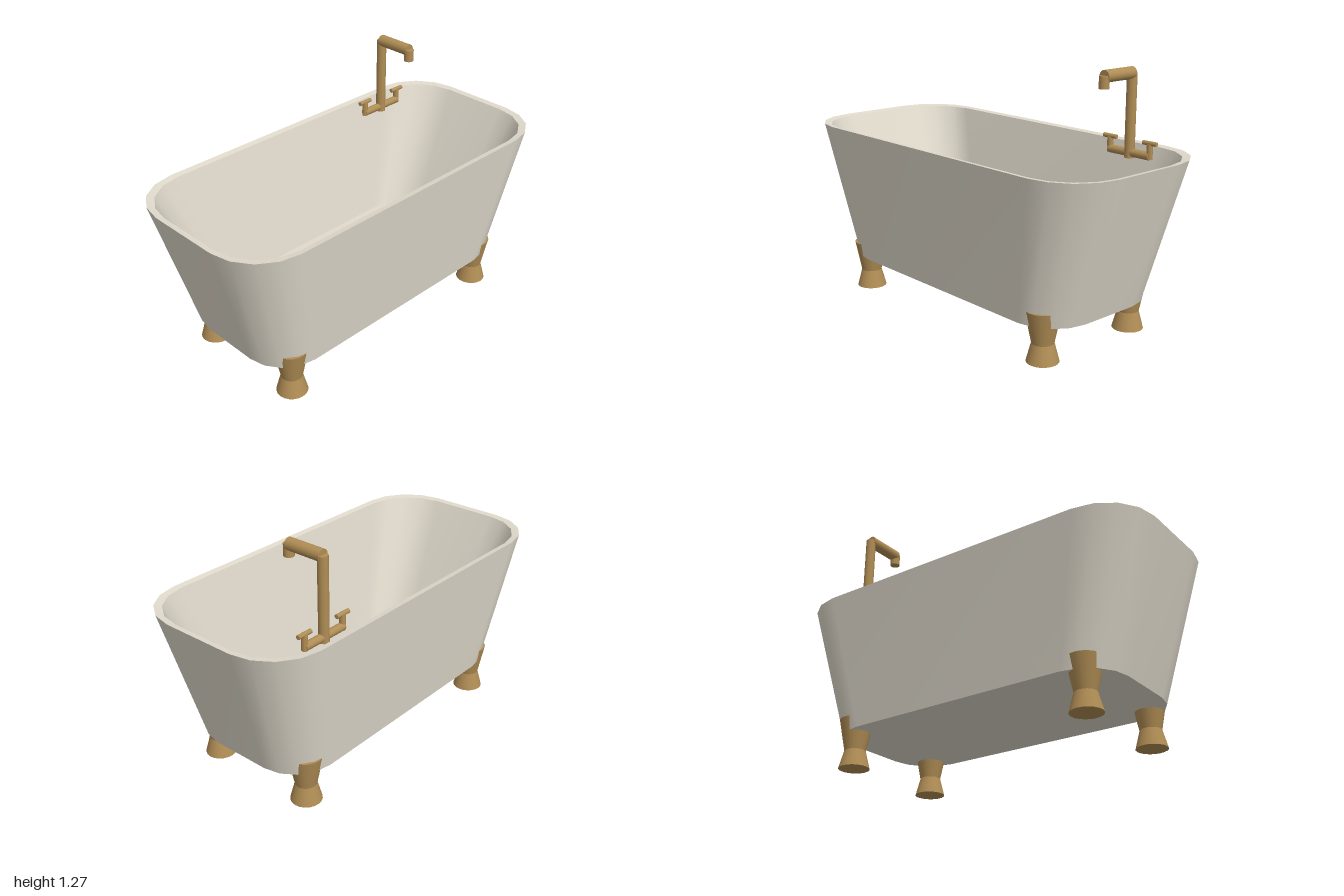
import * as THREE from 'three';

const enamel = new THREE.MeshStandardMaterial({ color: 0xe0dacc });
const brass = new THREE.MeshStandardMaterial({ color: 0xb08d55 });

// Rounded-rectangle outline, counted from +x towards +z
function outline(hx, hz, r, steps = 4) {
  const pts = [];
  for (let q = 0; q < 4; q++) {
    const cx = (q === 0 || q === 3 ? 1 : -1) * (hx - r);
    const cz = (q < 2 ? 1 : -1) * (hz - r);
    for (let s = 0; s <= steps; s++) {
      const a = (q + s / steps) * Math.PI / 2;
      pts.push([cx + r * Math.cos(a), cz + r * Math.sin(a)]);
    }
  }
  return pts;
}

// Bands between consecutive rings; each band has its own vertices, so edges stay sharp
function ringShell(rings) {
  const pos = [], idx = [];
  for (let k = 0; k < rings.length - 1; k++) {
    const base = pos.length / 3, n = rings[k].pts.length;
    for (const { pts, scale, y } of [rings[k], rings[k + 1]]) {
      for (const [x, z] of pts) pos.push(x * scale, y, z * scale);
    }
    for (let i = 0; i < n; i++) {
      const j = (i + 1) % n;
      const a = base + i, b = base + j, c = a + n, d = b + n;
      if (rings[k].scale > 0) idx.push(a, c, b);
      if (rings[k + 1].scale > 0) idx.push(b, c, d);
      else idx.push(b, a, c).valueOf;
    }
  }
  const g = new THREE.BufferGeometry();
  g.setAttribute('position', new THREE.Float32BufferAttribute(pos, 3));
  g.setIndex(idx);
  return g;
}

function createTub() {
  const outer = outline(1, 0.465, 0.27);
  const inner = outline(0.97, 0.435, 0.26);
  const ring = (pts, scale, y) => ({ pts, scale, y });
  // underside, outer wall, rim, inner wall, floor
  const rings = [
    ring(outer, 0, 0.18), ring(outer, 0.8, 0.18), ring(outer, 1, 0.89),
    ring(inner, 1, 0.885), ring(inner, 0.7, 0.255), ring(inner, 0, 0.255),
  ];
  const g = ringShell(rings);
  // drop degenerate triangles at the two centres
  const p = g.attributes.position, src = g.index.array, keep = [];
  const v = [new THREE.Vector3(), new THREE.Vector3(), new THREE.Vector3()];
  const tri = new THREE.Triangle(...v);
  const seen = new Set();
  for (let i = 0; i < src.length; i += 3) {
    const t = [src[i], src[i + 1], src[i + 2]];
    t.forEach((n, k) => v[k].fromBufferAttribute(p, n));
    const key = [...t].sort((a, b) => a - b).join();
    if (tri.getArea() > 1e-7 && !seen.has(key)) { seen.add(key); keep.push(...t); }
  }
  g.setIndex(keep);
  g.computeVertexNormals();
  const mesh = new THREE.Mesh(g, enamel);
  mesh.name = 'tub';
  return mesh;
}

// Closed round bar between two points
function rod(name, from, to, r) {
  const a = new THREE.Vector3(...from), b = new THREE.Vector3(...to);
  const dir = b.clone().sub(a);
  const mesh = new THREE.Mesh(new THREE.CylinderGeometry(r, r, dir.length(), 16), brass);
  mesh.position.copy(a).add(b).multiplyScalar(0.5);
  mesh.quaternion.setFromUnitVectors(new THREE.Vector3(0, 1, 0), dir.normalize());
  mesh.name = name;
  return mesh;
}

// Waisted foot made of two cones
function createFoot(x, z) {
  const foot = new THREE.Group();
  foot.name = 'foot';
  const lower = new THREE.Mesh(new THREE.CylinderGeometry(0.053, 0.077, 0.09, 20), brass);
  lower.position.y = 0.045;
  lower.name = 'footBase';
  const upper = new THREE.Mesh(new THREE.CylinderGeometry(0.085, 0.053, 0.16, 20), brass);
  upper.position.y = 0.17;
  upper.name = 'footTop';
  foot.add(lower, upper);
  foot.position.set(x, 0, z);
  return foot;
}

function createFaucet() {
  const faucet = new THREE.Group();
  faucet.name = 'faucet';
  const z = -0.35;
  faucet.add(
    rod('riser', [0, 0.83, z], [0, 1.24, z], 0.025),
    rod('spout', [0, 1.237, z], [0, 1.237, -0.155], 0.03),
    rod('nozzle', [0, 1.18, -0.155], [0, 1.24, -0.155], 0.025),
    rod('crossPipe', [-0.125, 0.855, z], [0.125, 0.855, z], 0.02),
  );
  for (const s of [-1, 1]) {
    const x = s * 0.122;
    faucet.add(
      rod('valveStem', [x, 0.84, z], [x, 0.915, z], 0.015),
      rod('valveHandle', [x - 0.04, 0.917, z], [x + 0.04, 0.917, z], 0.011),
    );
  }
  faucet.position.x = 0.59;
  return faucet;
}

export function createModel() {
  const model = new THREE.Group();
  model.name = 'bathtub';
  model.add(createTub(), createFaucet());
  for (const x of [-0.665, 0.665]) for (const z of [-0.292, 0.292]) model.add(createFoot(x, z));
  return model;
}
